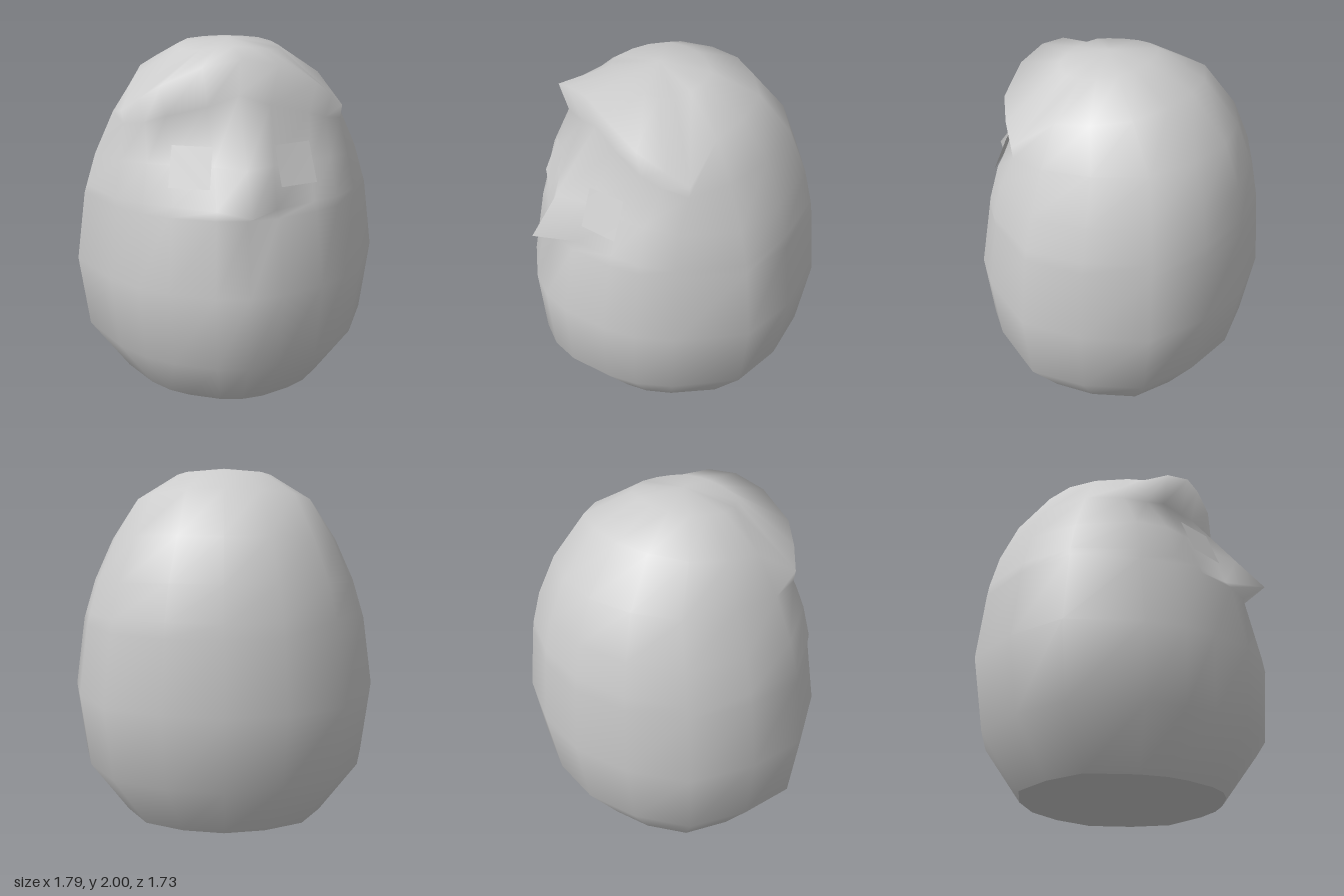
import * as THREE from 'three';

const grey = new THREE.MeshStandardMaterial({ color: 0xcccccc, side: THREE.DoubleSide });
grey.name = 'plain grey';

function makeGeometry(points, index) {
  const g = new THREE.BufferGeometry();
  g.setAttribute('position', new THREE.Float32BufferAttribute(points.flat(), 3));
  g.setIndex(index);
  g.computeVertexNormals();
  return g;
}

function addMesh(group, name, geometry) {
  const mesh = new THREE.Mesh(geometry, grey);
  mesh.name = name;
  group.add(mesh);
}

// Unit outline of a half ring, as [x, z]: back half, then front half
const BACK = [[0, -1], [0.37, -0.93], [0.72, -0.745], [0.92, -0.375], [1, 0]];
const FRONT = [[0.8, 0.49], [0.64, 0.7], [0.47, 0.83], [0.2, 0.965], [0, 1]];

// Each ring: side height, half width, back depth, back height,
// then either a front depth or five shaped face points [x, y, z]
const RINGS = [
  [0, 0.615, 0.585, 0, 0.56],
  [0.3, 0.84, 0.79, 0.3, 0.79],
  [0.72, 0.895, 0.86, 0.72, 0.82],
  [1.12, 0.84, 0.83, 1.12, 0.735],
  // beak tip
  [1.17, 0.825, 0.822, 1.2, [[0.67, 1.17, 0.37], [0.53, 1.17, 0.51], [0.38, 1.17, 0.59], [0.16, 1.16, 0.68], [0, 1.17, 0.865]]],
  // cheeks and beak ridge
  [1.35, 0.77, 0.78, 1.4, [[0.64, 1.37, 0.33], [0.5, 1.38, 0.46], [0.38, 1.38, 0.515], [0.16, 1.38, 0.6], [0, 1.38, 0.704]]],
  // crease below the brow
  [1.59, 0.66, 0.69, 1.64, [[0.61, 1.56, 0.25], [0.5, 1.58, 0.34], [0.39, 1.62, 0.4], [0.17, 1.67, 0.43], [0, 1.73, 0.44]]],
  // brow edge
  [1.79, 0.53, 0.48, 1.88, [[0.62, 1.63, 0.25], [0.53, 1.71, 0.35], [0.42, 1.79, 0.44], [0.2, 1.89, 0.49], [0, 1.926, 0.49]]],
  // crown
  [1.95, 0.29, 0.21, 1.985, [[0.28, 1.94, 0.13], [0.24, 1.94, 0.2], [0.18, 1.95, 0.24], [0.09, 1.96, 0.25], [0, 1.966, 0.25]]],
];

function makeRing([y, w, depth, backY, front]) {
  const half = BACK.map(([x, z]) => [x * w, y + (y - backY) * z, z * depth + 0.03 * (1 + z)]);
  if (Array.isArray(front)) half.push(...front);
  else half.push(...FRONT.map(([x, z]) => [x * w, y, z * front]));
  // mirror to the other side, without the two centre points
  const other = half.slice(1, -1).reverse().map(([x, py, z]) => [-x, py, z]);
  return [...half, ...other];
}

export function createModel() {
  const group = new THREE.Group();
  group.name = 'roundHead';

  // Smooth shell joined ring by ring and closed at the crown
  const rings = RINGS.map(makeRing);
  const n = rings[0].length;
  const points = [...rings.flat(), [0, 2, 0.04]];
  const index = [];
  for (let r = 0; r < rings.length; r++) {
    for (let c = 0; c < n; c++) {
      const a = r * n + c, d = r * n + (c + 1) % n;
      if (r === rings.length - 1) index.push(a, points.length - 1, d);
      else index.push(a, a + n, d, d, a + n, d + n);
    }
  }
  addMesh(group, 'headShell', makeGeometry(points, index));

  // Flat underside
  const base = [...rings[0], [0, 0, 0]];
  const baseIndex = [];
  for (let c = 0; c < n; c++) baseIndex.push(c, (c + 1) % n, n);
  addMesh(group, 'base', makeGeometry(base, baseIndex));

  // Square eye plates lying on the cheeks
  const eye = [[0.19, 1.275, 0.655], [0.4, 1.275, 0.575], [0.37, 1.485, 0.495], [0.165, 1.485, 0.58]];
  for (const s of [1, -1]) {
    const corners = eye.map(([x, y, z]) => [s * x, y, z]);
    const order = s > 0 ? [0, 1, 2, 0, 2, 3] : [0, 2, 1, 0, 3, 2];
    addMesh(group, s > 0 ? 'leftEye' : 'rightEye', makeGeometry(corners, order));
  }
  return group;
}
